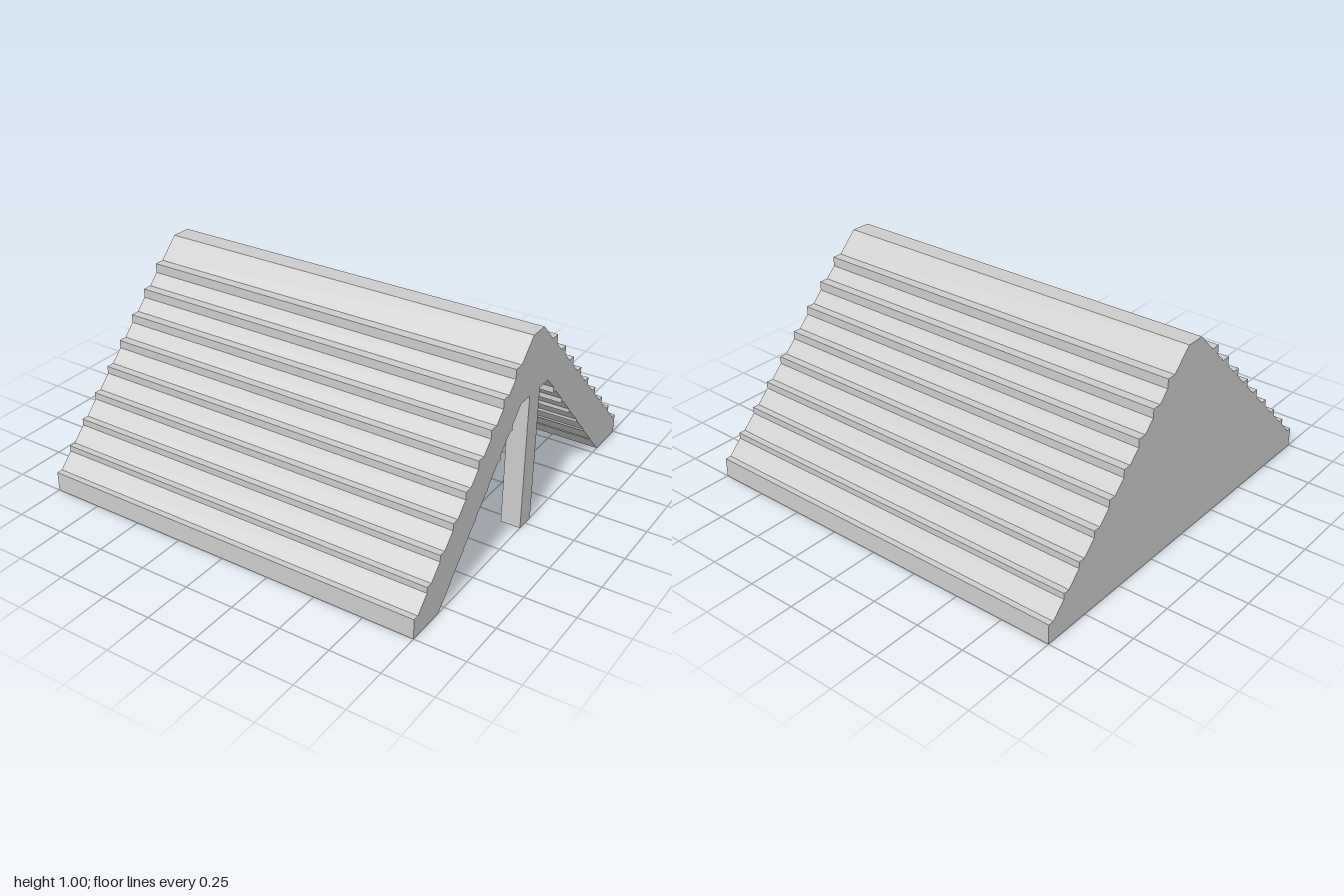
import * as THREE from 'three';

const material = new THREE.MeshStandardMaterial({ color: 0xcccccc, flatShading: true });

// One half of a stepped slope, foot to top: each tier is a flat, a 45 degree run and a riser.
function outerHalf() {
  const pts = [[1, 0], [1, 0.1]];
  for (let k = 0; k < 9; k++) {
    const ledge = 0.03 + 0.0025 * k;
    const z = 1 - 0.1 * k, y = 0.1 * (k + 1);
    pts.push([z - ledge, y]);
    pts.push([z - 0.1, y + 0.1 - ledge]);
    if (k < 8) pts.push([z - 0.1, y + 0.1]);
  }
  pts.pop();
  pts.push([0.05, 1]);
  return pts;
}

// Underside of the slope, with steps that deepen toward the ridge.
function innerHalf() {
  const pts = [[0.8, 0]];
  for (let k = 0; k < 7; k++) {
    const step = 0.005 * k;
    const z = 0.8 - 0.1 * k, y = 0.1 * k;
    if (k > 0) pts.push([z, y], [z, y + step]);
    pts.push([z - 0.1 + step, y + 0.1]);
  }
  return pts;
}

// Mirror a half profile into a full one running from +z to -z.
const mirrored = (half) => [...half, ...half.map(([z, y]) => [-z, y]).reverse()];

// Extrude a profile along x, from x0 to x1.
function extrudeX(name, points, x0, x1) {
  const unique = points.filter((p, i) => i === 0 ||
    Math.hypot(p[0] - points[i - 1][0], p[1] - points[i - 1][1]) > 1e-6);
  const shape = new THREE.Shape(unique.map(([z, y]) => new THREE.Vector2(z, y)));
  const geometry = new THREE.ExtrudeGeometry(shape, { depth: x1 - x0, bevelEnabled: false });
  geometry.rotateY(Math.PI / 2);
  geometry.translate(x0, 0, 0);
  const mesh = new THREE.Mesh(geometry, material);
  mesh.name = name;
  return mesh;
}

export function createModel() {
  const group = new THREE.Group();
  group.name = 'gableRoof';
  const outer = mirrored(outerHalf());
  const inner = mirrored(innerHalf());

  // Hollow stepped roof over the full length
  group.add(extrudeX('roofShell', [...outer, ...inner.slice().reverse()], -1, 1));

  // Wall closing one end
  group.add(extrudeX('gableWall', inner, -1, -0.9));

  // Post under the ridge at the open end
  const post = new THREE.Mesh(new THREE.BoxGeometry(0.1, 0.7, 0.1), material);
  post.name = 'ridgePost';
  post.position.set(0.95, 0.35, 0);
  group.add(post);

  return group;
}
